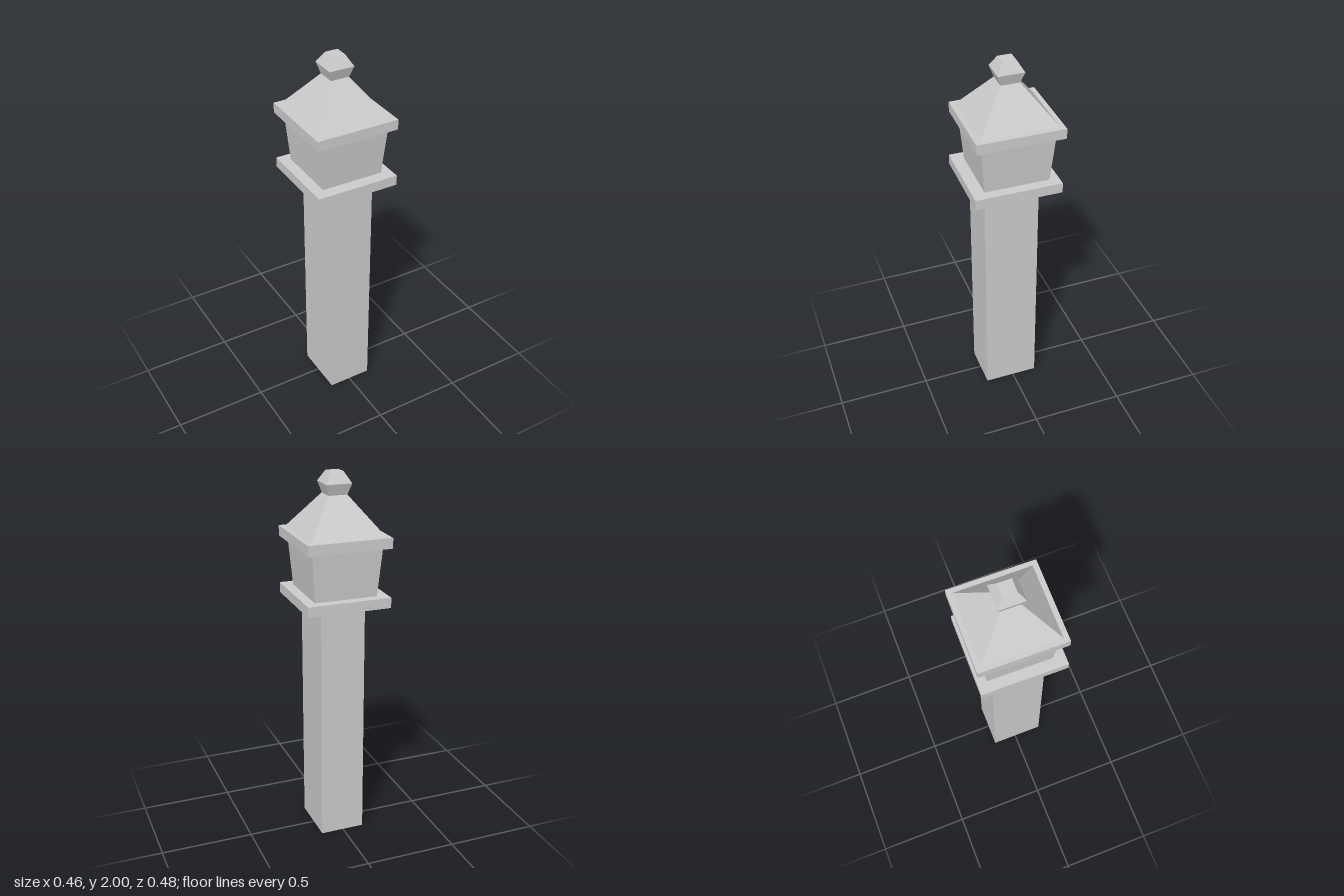
import * as THREE from 'three';

const material = new THREE.MeshStandardMaterial({ color: 0xcccccc, flatShading: true });

// Four-sided block from y0 to y1, with [width, depth] at the bottom and at the top
function block(name, y0, y1, bottom, top, x = 0, z = 0, turn = 0) {
  const geometry = new THREE.BoxGeometry(1, y1 - y0, 1);
  const p = geometry.attributes.position;
  for (let i = 0; i < p.count; i++) {
    const size = p.getY(i) > 0 ? top : bottom;
    p.setX(i, p.getX(i) * size[0]);
    p.setZ(i, p.getZ(i) * size[1]);
  }
  geometry.computeVertexNormals();
  const mesh = new THREE.Mesh(geometry, material);
  mesh.name = name;
  mesh.position.set(x, (y0 + y1) / 2, z);
  mesh.rotation.y = turn;
  return mesh;
}

export function createModel() {
  const model = new THREE.Group();
  model.name = 'stonePillar';
  const turn = -0.012; // the head sits very slightly twisted on its post
  const slab = [0.45, 0.463];

  // Post
  model.add(block('post', 0, 1.32, [0.243, 0.295], [0.243, 0.295], 0.003, 0.012));

  // Head: flared body between two slabs
  model.add(block('lowerSlab', 1.32, 1.375, slab, slab, -0.002, 0.005, turn));
  model.add(block('flaredBody', 1.375, 1.635, [0.337, 0.347], [0.378, 0.389], 0, -0.002, turn));
  model.add(block('upperSlab', 1.635, 1.69, slab, slab, 0, -0.005, turn));

  // Pyramid roof
  model.add(block('roof', 1.69, 1.885, [0.398, 0.41], [0.1, 0.1], 0, -0.006, turn));

  // Faceted finial
  const finial = new THREE.Group();
  finial.name = 'finial';
  finial.add(block('finialLower', 1.885, 1.943, [0.1, 0.1], [0.136, 0.14], 0, -0.006, turn));
  finial.add(block('finialUpper', 1.943, 2, [0.136, 0.14], [0.07, 0.071], 0, -0.006, turn));
  model.add(finial);

  return model;
}
